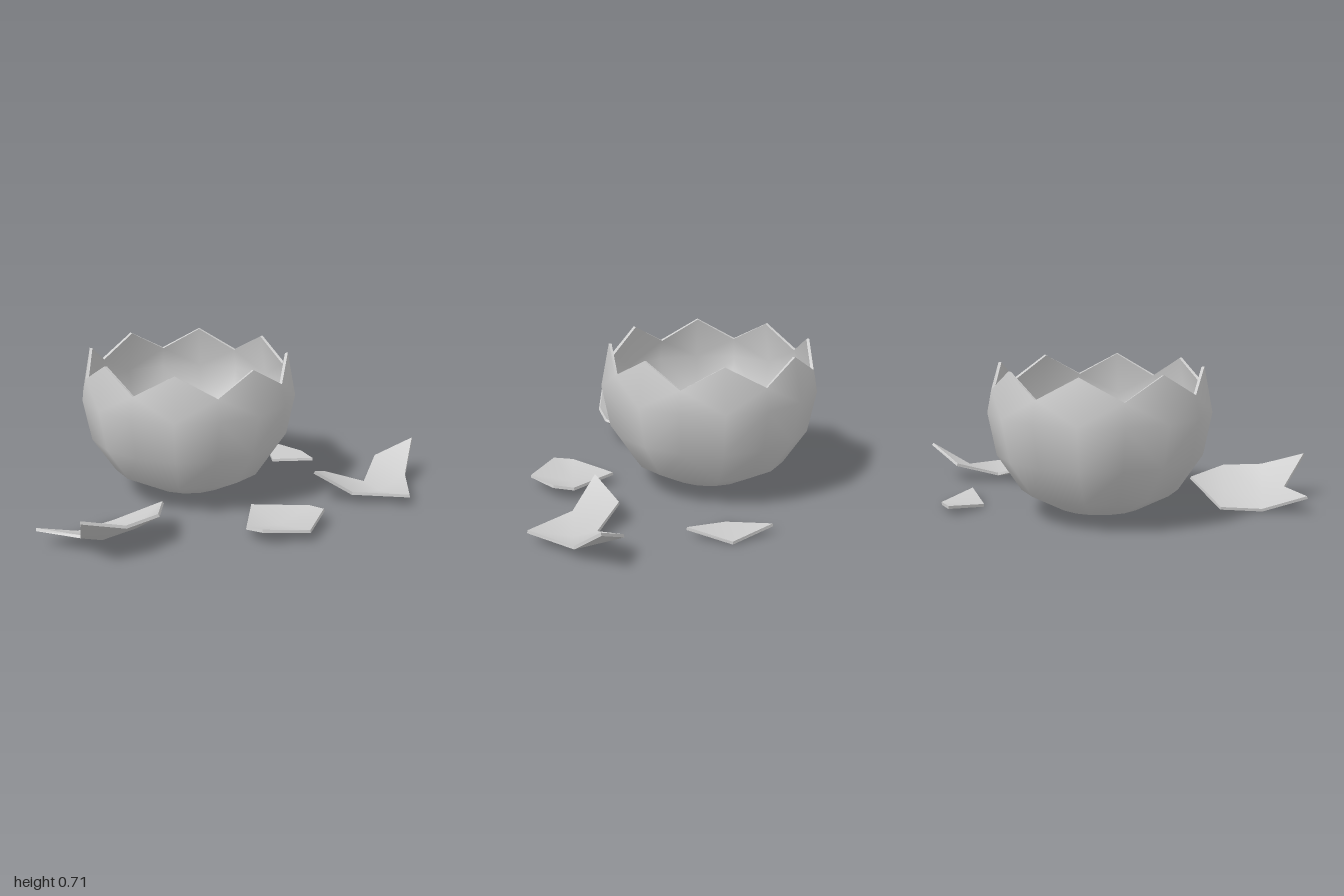
import * as THREE from 'three';
import { mergeGeometries } from 'three/addons/utils/BufferGeometryUtils.js';

const THICKNESS = 0.014;

// Thickens a sheet of triangles toward the focus point: smooth faces, crisp broken edges.
function shell(name, points, faces, focus) {
  const v = points.map((p) => new THREE.Vector3(...p));
  const target = new THREE.Vector3(...focus);
  const tris = faces.map(([a, b, c]) => {
    const n = v[b].clone().sub(v[a]).cross(v[c].clone().sub(v[a]));
    return n.dot(target.clone().sub(v[a])) >= 0 ? [a, b, c] : [a, c, b];
  });

  const sheet = (verts, list) => {
    const g = new THREE.BufferGeometry().setFromPoints(verts);
    g.setIndex(list.flat());
    g.computeVertexNormals();
    return g;
  };
  const outer = sheet(v, tris.map(([a, b, c]) => [a, c, b]));
  const normals = outer.attributes.normal;
  const w = v.map((p, i) =>
    p.clone().addScaledVector(new THREE.Vector3().fromBufferAttribute(normals, i), -THICKNESS));
  const inner = sheet(w, tris);

  // Wall along every edge that belongs to only one triangle
  const edges = tris.flatMap(([a, b, c]) => [[a, b], [b, c], [c, a]]);
  const used = new Set(edges.map((e) => e.join('>')));
  const wallPoints = [];
  for (const [a, b] of edges) {
    if (used.has(`${b}>${a}`)) continue;
    wallPoints.push(v[a], v[b], w[b], v[a], w[b], w[a]);
  }
  const walls = new THREE.BufferGeometry().setFromPoints(wallPoints);
  walls.computeVertexNormals();

  const mesh = new THREE.Mesh(
    mergeGeometries([outer.toNonIndexed(), inner.toNonIndexed(), walls]),
    new THREE.MeshStandardMaterial({ color: 0xcccccc }));
  mesh.name = name;
  return mesh;
}

// Round shell body with a zigzag broken rim
function brokenBowl() {
  const sides = 16, cx = -0.03, cz = -0.18;
  const rings = [[0.2, 0.04], [0.372, 0.13], [0.485, 0.3], [0.525, 0.5]];
  const points = [[cx, 0, cz]];
  const faces = [];
  for (let r = 0; r <= rings.length; r++) {
    for (let i = 0; i < sides; i++) {
      const rim = i % 2 === 0 ? [0.485, 0.71] : [0.505, 0.605];
      const [radius, y] = r < rings.length ? rings[r] : rim;
      const a = (i / sides) * Math.PI * 2;
      points.push([cx + radius * Math.sin(a), y, cz + radius * Math.cos(a)]);
      const j = (i + 1) % sides;
      const p = 1 + r * sides + i, q = 1 + r * sides + j;
      if (r === 0) faces.push([0, p, q]);
      else if (i % 2 === 0) faces.push([p - sides, q - sides, q], [p - sides, q, p]);
      else faces.push([p - sides, q - sides, p], [q - sides, q, p]);
    }
  }
  return shell('brokenBowl', points, faces, [cx, 0.5, cz]);
}

export function createModel() {
  const group = new THREE.Group();
  group.name = 'brokenShell';
  group.add(brokenBowl());

  // Large shard with a notch on its outer side
  group.add(shell('rightShard', [
    [-1, 0.075, -0.03], [-0.79, 0.003, -0.03], [-0.59, 0.003, -0.03], [-0.425, 0.11, 0.14],
    [-0.575, 0.14, 0.31], [-0.77, 0.147, 0.338], [-0.98, 0.215, 0.31], [-0.89, 0.075, 0.16],
    [-0.78, 0.035, 0.16], [-0.59, 0.035, 0.15],
  ], [
    [0, 1, 7], [1, 8, 7], [1, 2, 9], [1, 9, 8], [2, 3, 9],
    [3, 4, 9], [4, 5, 8], [4, 8, 9], [5, 6, 7], [5, 7, 8],
  ], [-0.75, 2, 0.15]));

  // Six-sided shard partly under the bowl
  group.add(shell('frontShard', [
    [-0.03, 0.04, 0.295], [-0.23, 0.045, 0.49], [-0.22, 0.06, 0.59],
    [-0.03, 0.043, 0.7], [0.165, 0.06, 0.59], [0.17, 0.045, 0.49], [-0.03, 0.001, 0.5],
  ], Array.from({ length: 6 }, (_, i) => [i, (i + 1) % 6, 6]), [-0.03, 2, 0.5]));

  // Winged shard with two raised tips
  group.add(shell('leftShard', [
    [0.285, 0.16, 0.39], [0.46, 0.088, 0.29], [0.635, 0.025, 0.395], [0.83, 0.092, 0.29],
    [1, 0.18, 0.39], [0.83, 0.047, 0.5], [0.635, 0.043, 0.7], [0.44, 0.045, 0.5],
    [0.635, 0.003, 0.5],
  ], [
    [0, 1, 7], [1, 8, 7], [1, 2, 8], [2, 3, 8], [3, 5, 8], [3, 4, 5], [5, 6, 8], [6, 7, 8],
  ], [0.635, 2, 0.5]));

  // Small diamond shard
  group.add(shell('diamondShard', [
    [0.54, 0.002, -0.18], [0.655, 0.035, -0.375], [0.755, 0.002, -0.18], [0.655, 0.035, 0.01],
  ], [[0, 1, 2], [0, 2, 3]], [0.65, 2, -0.18]));

  return group;
}
